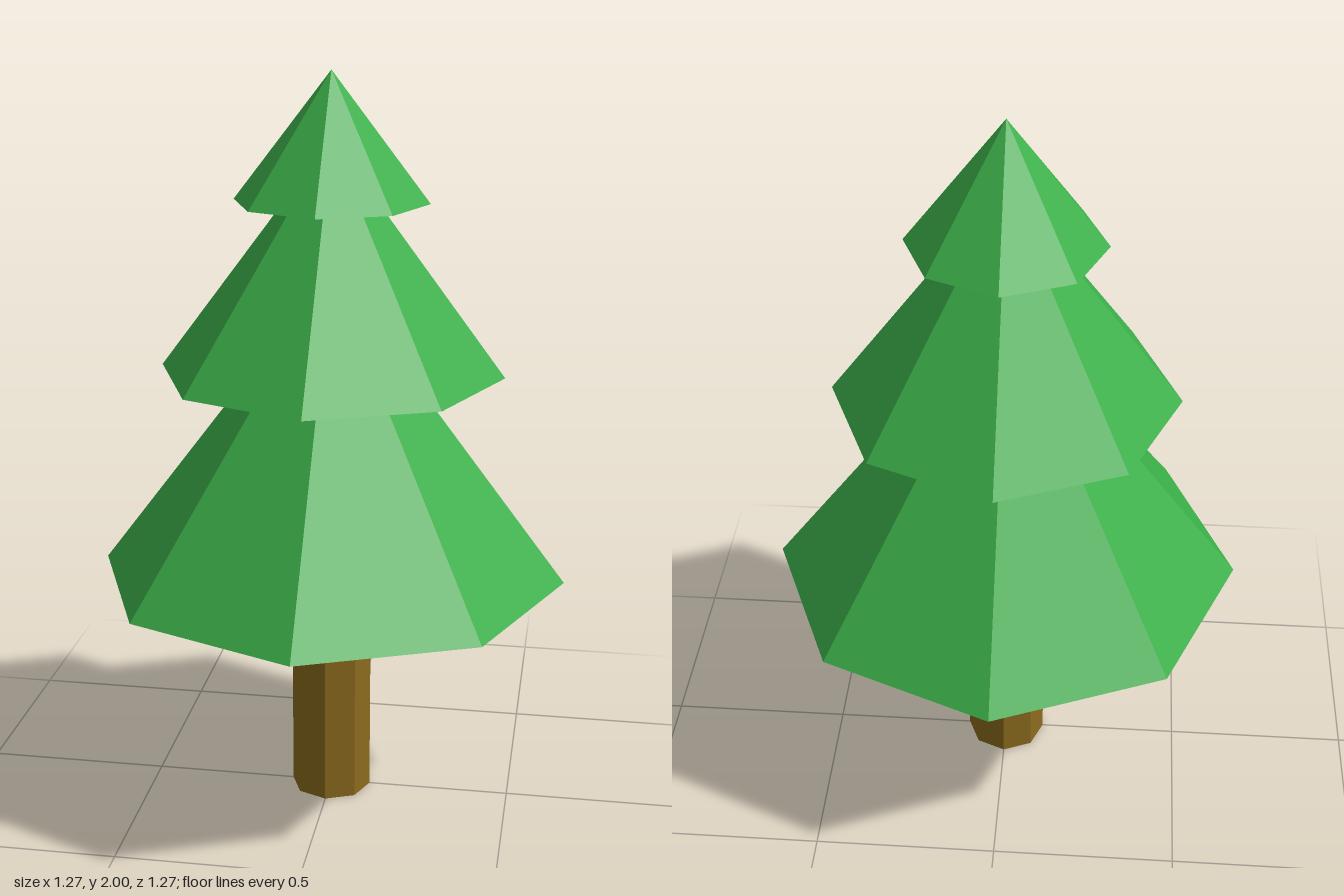
import * as THREE from 'three';

const SIDES = 8;

export function createModel() {
  const tree = new THREE.Group();
  tree.name = 'tree';

  const bark = new THREE.MeshStandardMaterial({ color: 0x8b6b1e, flatShading: true });
  const needles = new THREE.MeshStandardMaterial({ color: 0x3cb04a, flatShading: true });

  // Octagonal trunk, ending just inside the lowest tier
  const trunkHeight = 0.66;
  const trunk = new THREE.Mesh(new THREE.CylinderGeometry(0.11, 0.11, trunkHeight, SIDES), bark);
  trunk.name = 'trunk';
  trunk.position.y = trunkHeight / 2;
  tree.add(trunk);

  // Stacked foliage cones, each tip hidden inside the tier above
  const tiers = [
    { name: 'lowerFoliage', radius: 0.635, base: 0.65, tip: 1.49 },
    { name: 'middleFoliage', radius: 0.46, base: 1.215, tip: 1.83 },
    { name: 'upperFoliage', radius: 0.257, base: 1.667, tip: 2 },
  ];
  for (const { name, radius, base, tip } of tiers) {
    const cone = new THREE.Mesh(new THREE.ConeGeometry(radius, tip - base, SIDES), needles);
    cone.name = name;
    cone.position.y = (base + tip) / 2;
    tree.add(cone);
  }

  return tree;
}
